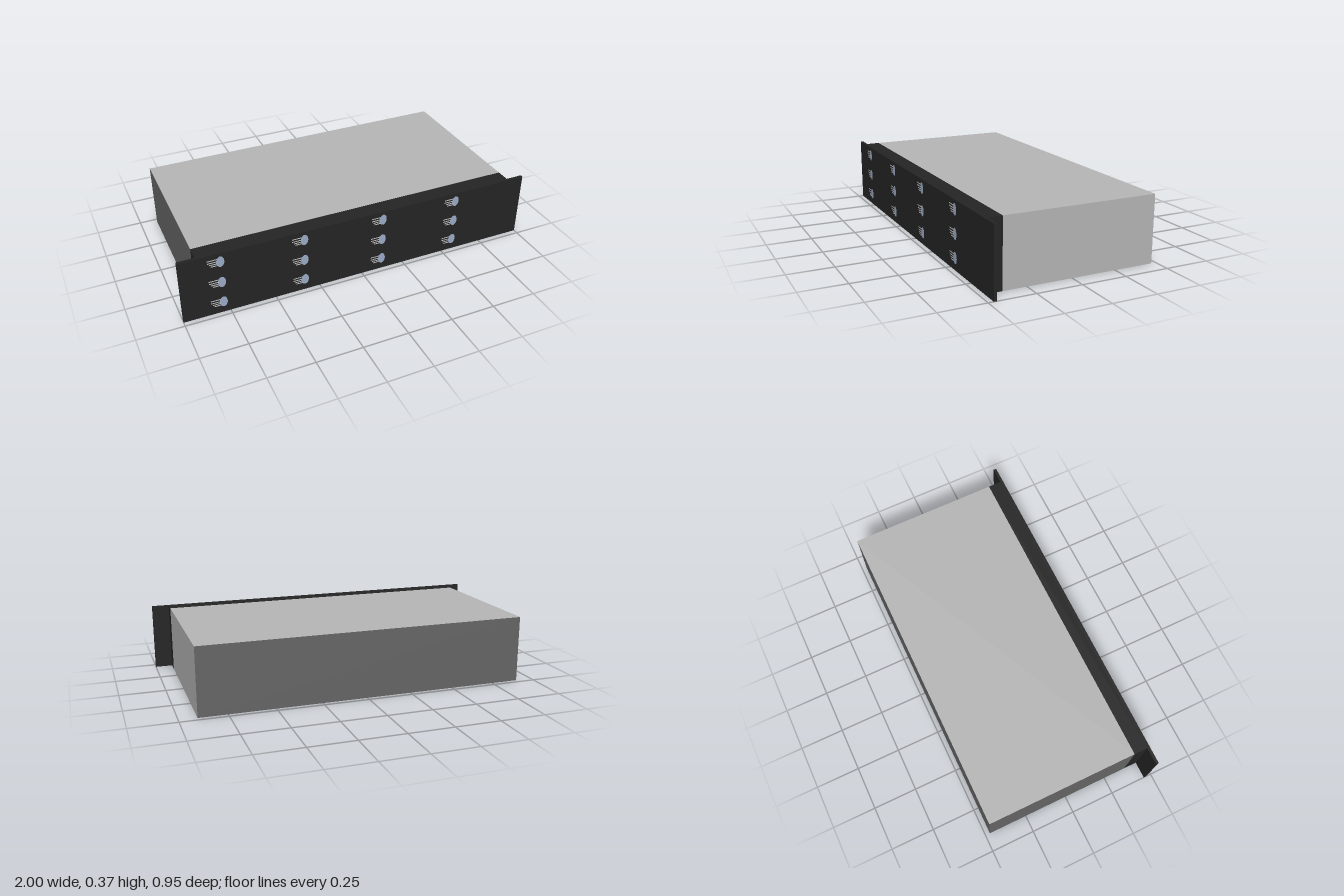
import * as THREE from 'three';

const flat = (name, color) => {
  const m = new THREE.MeshStandardMaterial({ color });
  m.name = name;
  return m;
};

export function createModel() {
  const lightGrey = flat('light case grey', 0xb6b6b6);
  const darkGrey = flat('dark case grey', 0x666666);
  const black = flat('panel black', 0x252525);
  const blue = flat('mark blue grey', 0x9badc7);
  const pale = flat('stripe grey', 0xc4c4c4);

  const model = new THREE.Group();
  model.name = 'rackUnit';
  const H = 0.37;

  const add = (parent, name, geometry, material, x, y, z) => {
    const mesh = new THREE.Mesh(geometry, material);
    mesh.name = name;
    mesh.position.set(x, y, z);
    parent.add(mesh);
  };
  // Box spanning z0..z1 at full height
  const slab = (name, width, z0, z1, material) =>
    add(model, name, new THREE.BoxGeometry(width, H, z1 - z0), material, 0, H / 2, (z0 + z1) / 2);

  // Light top and +x side; dark -x side, underside and back
  slab('caseBody', 1.81, -0.473, 0.38, [lightGrey, darkGrey, lightGrey, darkGrey, lightGrey, darkGrey]);
  slab('frontCollar', 1.81, 0.38, 0.456, black);
  slab('facePlate', 2, 0.456, 0.472, black);

  // Painted marks: an oval with short stripes trailing towards -x
  const oval = new THREE.CircleGeometry(1, 20).scale(0.021, 0.032, 1);
  const stripes = [[-0.068, 0.018], [-0.068, 0.004], [-0.058, -0.008], [-0.05, -0.019]];
  for (const x of [-0.784, -0.335, 0.117, 0.563]) {
    for (const y of [0.32, 0.193, 0.067]) {
      const mark = new THREE.Group();
      mark.name = 'panelMark';
      mark.position.set(x, y, 0.473);
      add(mark, 'markOval', oval, blue, 0, 0, 0);
      for (const [start, dy] of stripes) {
        const length = -0.016 - start;
        add(mark, 'markStripe', new THREE.PlaneGeometry(length, 0.006), pale, start + length / 2, dy, 0);
      }
      model.add(mark);
    }
  }
  return model;
}
